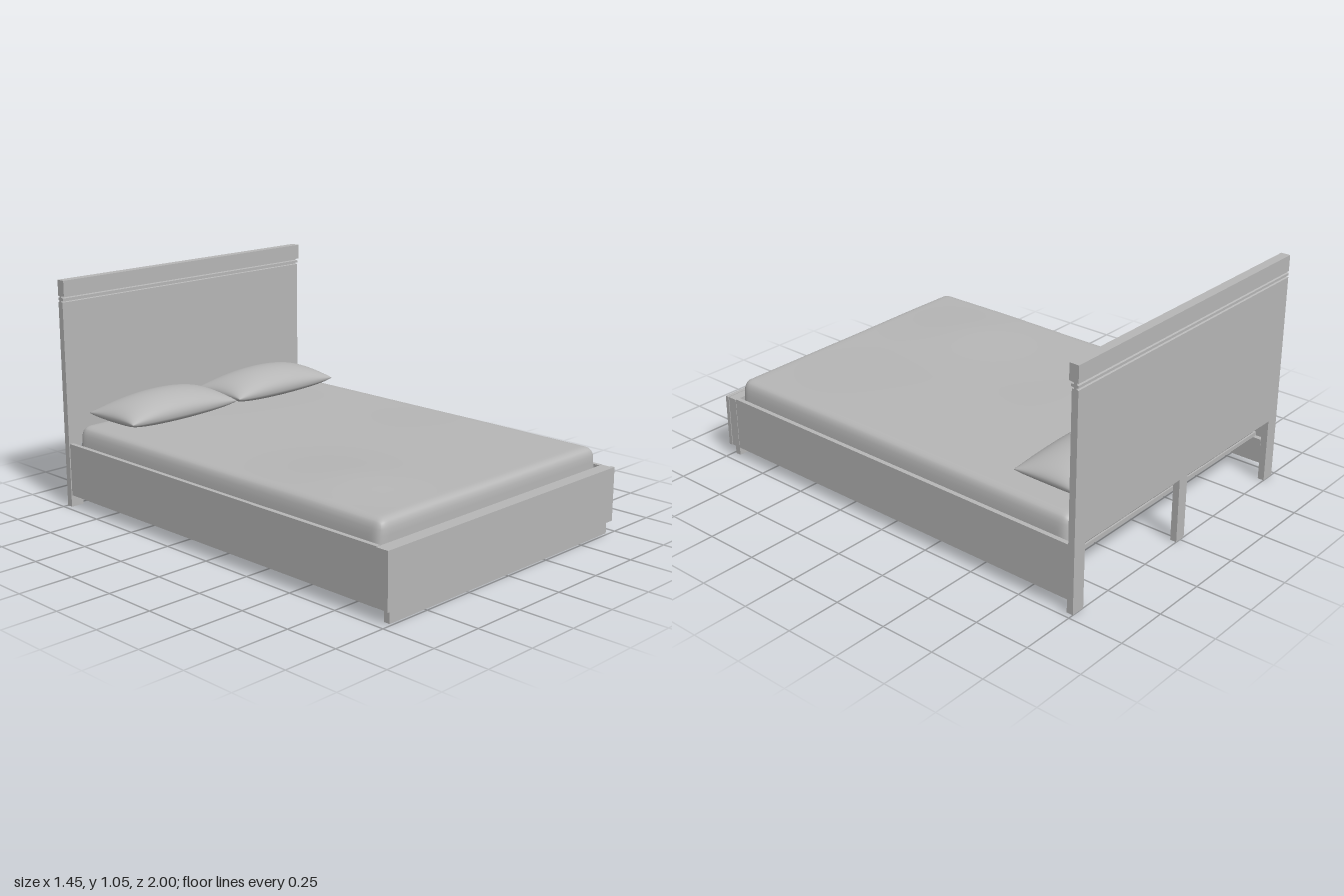
import * as THREE from 'three';
import { mergeVertices } from 'three/addons/utils/BufferGeometryUtils.js';

const grey = new THREE.MeshStandardMaterial({ color: 0xb6b6b6 });
grey.name = 'plain grey';

function add(parent, name, geometry) {
  const mesh = new THREE.Mesh(geometry, grey);
  mesh.name = name;
  parent.add(mesh);
  return mesh;
}

// Box given by its minimum and maximum on each axis
function box(parent, name, [x0, x1], [y0, y1], [z0, z1]) {
  const mesh = add(parent, name, new THREE.BoxGeometry(x1 - x0, y1 - y0, z1 - z0));
  mesh.position.set((x0 + x1) / 2, (y0 + y1) / 2, (z0 + z1) / 2);
  return mesh;
}

// Subdivided 2x2x2 cube, denser at the edges, with each vertex moved by a rule
function shapedCube(segments, rule) {
  let geo = new THREE.BoxGeometry(2, 2, 2, ...segments);
  const pos = geo.attributes.position;
  const p = new THREE.Vector3();
  const ease = (t) => Math.sin(t * Math.PI / 2);
  for (let i = 0; i < pos.count; i++) {
    p.fromBufferAttribute(pos, i);
    p.set(ease(p.x), ease(p.y), ease(p.z));
    rule(p);
    pos.setXYZ(i, p.x, p.y, p.z);
  }
  geo.deleteAttribute('uv');
  geo.deleteAttribute('normal');
  geo = mergeVertices(geo, 1e-5);
  geo.computeVertexNormals();
  return geo;
}

// Soft mattress: rounded edges and a few gentle swells on top
function mattressGeometry() {
  const half = new THREE.Vector3(0.695, 0.092, 0.935);
  const r = 0.042;
  const inner = half.clone().subScalar(r);
  const swell = (p, x, z, sx, sz, h) =>
    h * Math.exp(-(((p.x - x) / sx) ** 2) - ((p.z - z) / sz) ** 2);
  return shapedCube([40, 10, 50], (p) => {
    p.multiply(half);
    const core = p.clone().clamp(inner.clone().negate(), inner);
    const d = p.clone().sub(core);
    if (d.lengthSq() > 0) p.copy(core).add(d.setLength(r));
    const up = Math.max(0, p.y / half.y);
    p.x *= 1 - 0.015 * up;
    p.y += up * (swell(p, -0.38, 0.5, 0.22, 0.28, 0.018)
      + swell(p, 0.35, 0.3, 0.3, 0.4, 0.006)
      + swell(p, 0.1, -0.4, 0.5, 0.4, 0.004));
  });
}

// Pillow: two domed sheets meeting in a pinched seam, flattened underneath
function pillowGeometry() {
  return shapedCube([36, 1, 28], (p) => {
    const { x: u, z: v } = p;
    const dome = Math.sqrt(Math.max(0, (1 - u * u) * (1 - v * v)));
    const full = Math.min(1, dome * 1.06);
    p.y = p.y > 0 ? 0.086 * dome : -0.05 * Math.pow(full, 0.7);
    p.x = 0.307 * u * (1 - 0.03 * (1 - v * v));
    p.z = 0.157 * v * (1 - 0.03 * (1 - u * u));
  });
}

export function createModel() {
  const bed = new THREE.Group();
  bed.name = 'bed';

  // Headboard: side profile with two grooves under a thicker cap, run across the width
  const headboard = new THREE.Group();
  headboard.name = 'headboard';
  bed.add(headboard);
  const front = [
    [-0.97, 0.295], [-0.97, 0.955], [-0.98, 0.957], [-0.98, 0.962], [-0.965, 0.964],
    [-0.965, 0.974], [-0.98, 0.976], [-0.98, 0.982], [-0.957, 0.985], [-0.957, 1.055],
  ];
  const back = [
    [-1, 1.055], [-1, 0.983], [-0.992, 0.982], [-0.992, 0.976], [-1, 0.974],
    [-1, 0.964], [-0.992, 0.962], [-0.992, 0.957], [-1, 0.955], [-1, 0.295],
  ];
  const profile = new THREE.Shape([...front, ...back].map(([z, y]) => new THREE.Vector2(-z, y)));
  const panel = new THREE.ExtrudeGeometry(profile, { depth: 1.45, bevelEnabled: false });
  panel.translate(0, 0, -0.725).rotateY(Math.PI / 2);
  add(headboard, 'headboardPanel', panel);
  for (const [x, w] of [[-0.6925, 0.065], [0, 0.055], [0.6925, 0.065]]) {
    box(headboard, 'headboardLeg', [x - w / 2, x + w / 2], [0, 0.295], [-1, -0.97]);
  }

  // Footboard in two layers on a recessed plinth
  box(bed, 'footboardOuter', [-0.725, 0.725], [0.055, 0.3], [0.981, 1]);
  box(bed, 'footboardInner', [-0.722, 0.722], [0.057, 0.298], [0.936, 0.981]);
  box(bed, 'footPlinth', [-0.7, 0.7], [0, 0.057], [0.96, 0.988]);

  // Side rails with ledgers that carry the slats
  for (const s of [-1, 1]) {
    const span = (a, b) => [Math.min(s * a, s * b), Math.max(s * a, s * b)];
    box(bed, 'sideRail', span(0.699, 0.72), [0.055, 0.3], [-0.97, 0.936]);
    box(bed, 'slatLedger', span(0.675, 0.699), [0.155, 0.185], [-0.96, 0.936]);
  }

  // Slats
  const slatCount = 19;
  for (let i = 0; i < slatCount; i++) {
    const z = -0.89 + (1.78 * i) / (slatCount - 1);
    box(bed, 'slat', [-0.698, 0.698], [0.185, 0.203], [z - 0.031, z + 0.031]);
  }

  // Bedding
  add(bed, 'mattress', mattressGeometry()).position.set(-0.002, 0.296, -0.003);
  for (const x of [-0.335, 0.296]) {
    add(bed, 'pillow', pillowGeometry()).position.set(x, 0.444, -0.758);
  }
  return bed;
}
